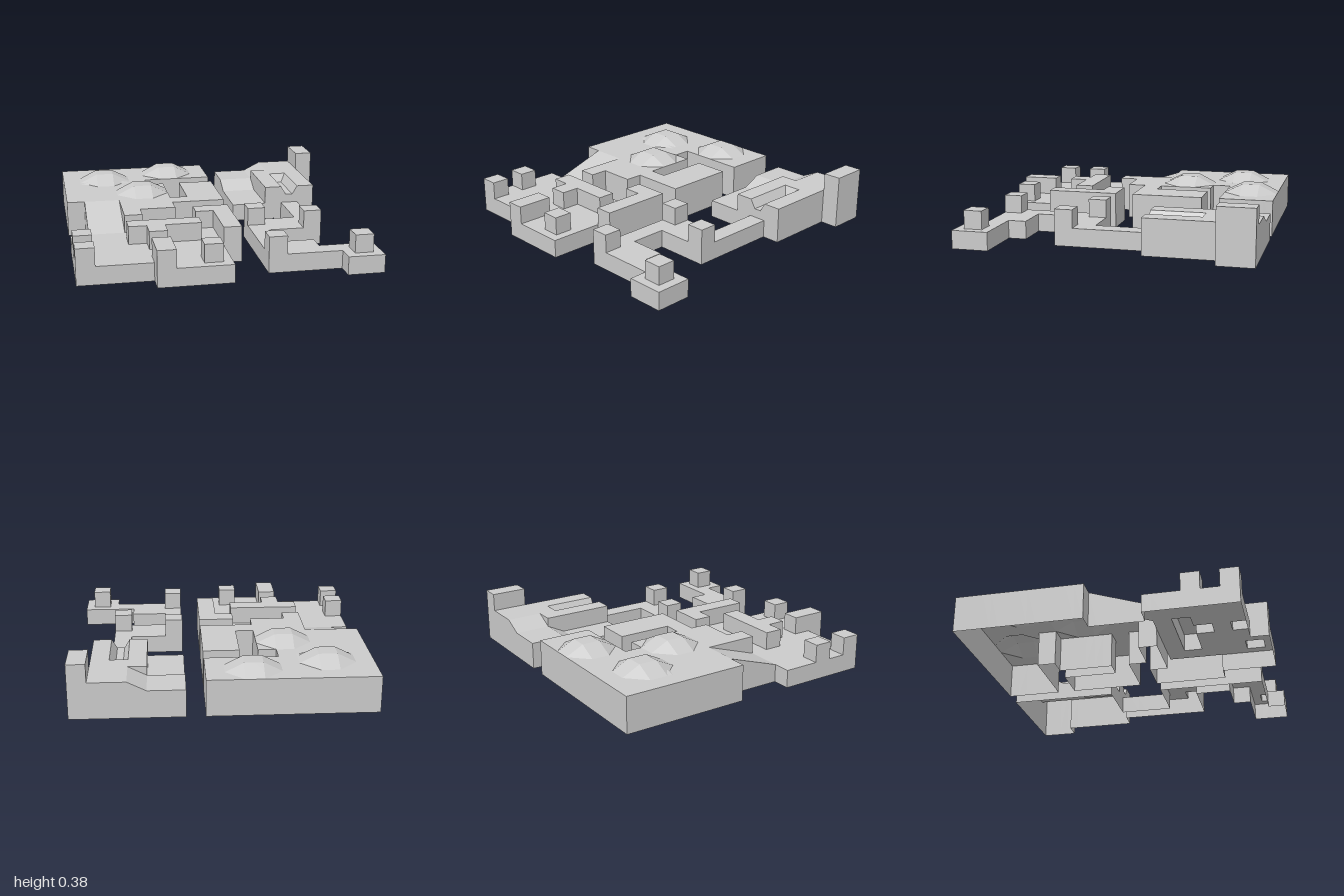
import * as THREE from 'three';

const U = 0.125; // one layout unit; rectangles below are x0, z0, x1, z1 in these units
const LOW = 0.125, MID = 0.1875, HIGH = 0.25, TALL = 0.375;
const LIP = 0.0375; // width of the trough's sloping sides
const { clamp } = THREE.MathUtils;

// A part is a height rule over some rectangles; later parts sit on earlier ones
const parts = [];
function addPart(name, height, ...rects) {
  const heightAt = typeof height === 'function' ? height : () => height;
  parts.push({ name, heightAt, rects });
}

// Square block centred on a point of the layout
function addBlock(name, x, z) {
  addPart(name, HIGH, [x - 0.5, z - 0.5, x + 0.5, z + 0.5]);
}

// Eight-sided mound with a flat top, three units wide
function addMound(x, z) {
  const rise = (px, pz) => {
    const p = Math.min(1, 1.5 - Math.abs(px / U - x));
    const q = Math.min(1, 1.5 - Math.abs(pz / U - z));
    return HIGH + 0.0625 * Math.max(0, p + q - 1);
  };
  addPart('mound', rise, [x - 1.5, z - 1.5, x + 1.5, z + 1.5]);
}

// Back left: plateau with an arm toward the middle, mounds and a ramp to the deck
addPart('backLeftPlateau', HIGH, [-8, -8, -3, -1], [-3, -8, 1, -5], [-5, -4, -2, 1], [-5, 1, -4, 2],
  [-2, -1, 1, 0], [-1, -4, 1, -1]);
addMound(-5.5, -5.5);
addMound(-1.5, -6.5);
addMound(-3.5, -2.5);
addPart('plateauRamp', (x, z) => HIGH - (z + U) / 3, [-7, -1, -5, 2]);

// Front left: low deck with walls and blocks
addPart('frontDeck', LOW, [-8, 2, 0, 7], [-4, 7, 0, 8]);
addPart('cornerWall', HIGH, [-1, 1, 1, 2], [0, 2, 1, 5]);
addPart('deckTeeWall', HIGH, [-5, 3, -1, 4], [-4, 4, -3, 5]);
addPart('deckWall', HIGH, [-4, 6, -3, 8]);
addBlock('deckBlock', -7.5, 4.5);
addBlock('deckBlock', -7.5, 6.5);
addBlock('deckBlock', -1, 7);

// Back right: stepped terrace, plateau with a trough, and a post
addPart('backTerrace', (x) => clamp(MID + (x - 0.5) / 2, MID, HIGH), [2, -8, 7, -6]);
addPart('sideTerrace', (x, z) => clamp(MID - (z + 0.75) / 2, LOW, MID), [2, -6, 4, -2]);
addPart('backRightPlateau', HIGH, [4, -6, 7, -2]);
addPart('trough', (x, z) => HIGH - 0.0625 * Math.min(1, (x - 0.625) / LIP, (0.75 - x) / LIP, (z + 0.625) / LIP),
  [5, -5, 6, -2]);
addPart('cornerPost', TALL, [7, -8, 8, -6]);

// Front right: winding walkway with blocks
addPart('walkway', LOW, [5, -2, 6, 1], [2, 1, 6, 3], [2, 3, 3, 5], [2, 5, 5, 7], [5, 6, 6, 7], [6, 6, 8, 8]);
addBlock('walkwayBlock', 2.5, 1.5);
addBlock('walkwayBlock', 5.5, 2.5);
addBlock('walkwayBlock', 2.5, 6.5);
addBlock('walkwayBlock', 7, 7);

// Grid lines every half unit, plus the inner edges of the trough
const gridLines = (...extra) => [...Array.from({ length: 33 }, (_, i) => -1 + i / 16), ...extra].sort((a, b) => a - b);
const xs = gridLines(0.625 + LIP, 0.75 - LIP);
const zs = gridLines(-0.625 + LIP);

// Topmost part covering each grid cell
const owners = xs.slice(1).map((xEnd, i) => zs.slice(1).map((zEnd, j) => {
  const x = (xs[i] + xEnd) / 2 / U, z = (zs[j] + zEnd) / 2 / U;
  return parts.findLast(({ rects }) =>
    rects.some(([x0, z0, x1, z1]) => x > x0 && x < x1 && z > z0 && z < z1));
}));

// Triangles of one cell: its top, and walls down to lower neighbours or the ground
function cellTriangles(part, i, j) {
  const out = [];
  const tri = (...points) => points.forEach((p) => out.push(...p));
  const [x0, x1, z0, z1] = [xs[i], xs[i + 1], zs[j], zs[j + 1]];
  const top = [[x0, z0], [x0, z1], [x1, z1], [x1, z0]].map(([x, z]) => [x, part.heightAt(x, z), z]);
  const [a, b, c, d] = top;

  // Split the top along the diagonal that follows the crease
  const mid = part.heightAt((x0 + x1) / 2, (z0 + z1) / 2);
  if (Math.abs((a[1] + c[1]) / 2 - mid) <= Math.abs((b[1] + d[1]) / 2 - mid)) {
    tri(a, b, c);
    tri(a, c, d);
  } else {
    tri(a, b, d);
    tri(b, c, d);
  }

  [[-1, 0], [0, 1], [1, 0], [0, -1]].forEach(([di, dj], k) => {
    const next = owners[i + di]?.[j + dj];
    const drop = ([x, , z]) => [x, next ? next.heightAt(x, z) : 0, z];
    const p = top[k], q = top[(k + 1) % 4];
    const pLow = drop(p), qLow = drop(q);
    if (p[1] - pLow[1] > 1e-5) tri(p, pLow, qLow);
    if (q[1] - qLow[1] > 1e-5) tri(p, qLow, q);
  });
  return out;
}

export function createModel() {
  const group = new THREE.Group();
  const material = new THREE.MeshStandardMaterial({ color: 0xcccccc, flatShading: true, side: THREE.DoubleSide });
  for (const part of parts) {
    const positions = owners.flatMap((column, i) =>
      column.flatMap((owner, j) => (owner === part ? cellTriangles(part, i, j) : [])));
    const geometry = new THREE.BufferGeometry();
    geometry.setAttribute('position', new THREE.Float32BufferAttribute(positions, 3));
    geometry.computeVertexNormals();
    const mesh = new THREE.Mesh(geometry, material);
    mesh.name = part.name;
    group.add(mesh);
  }
  return group;
}
